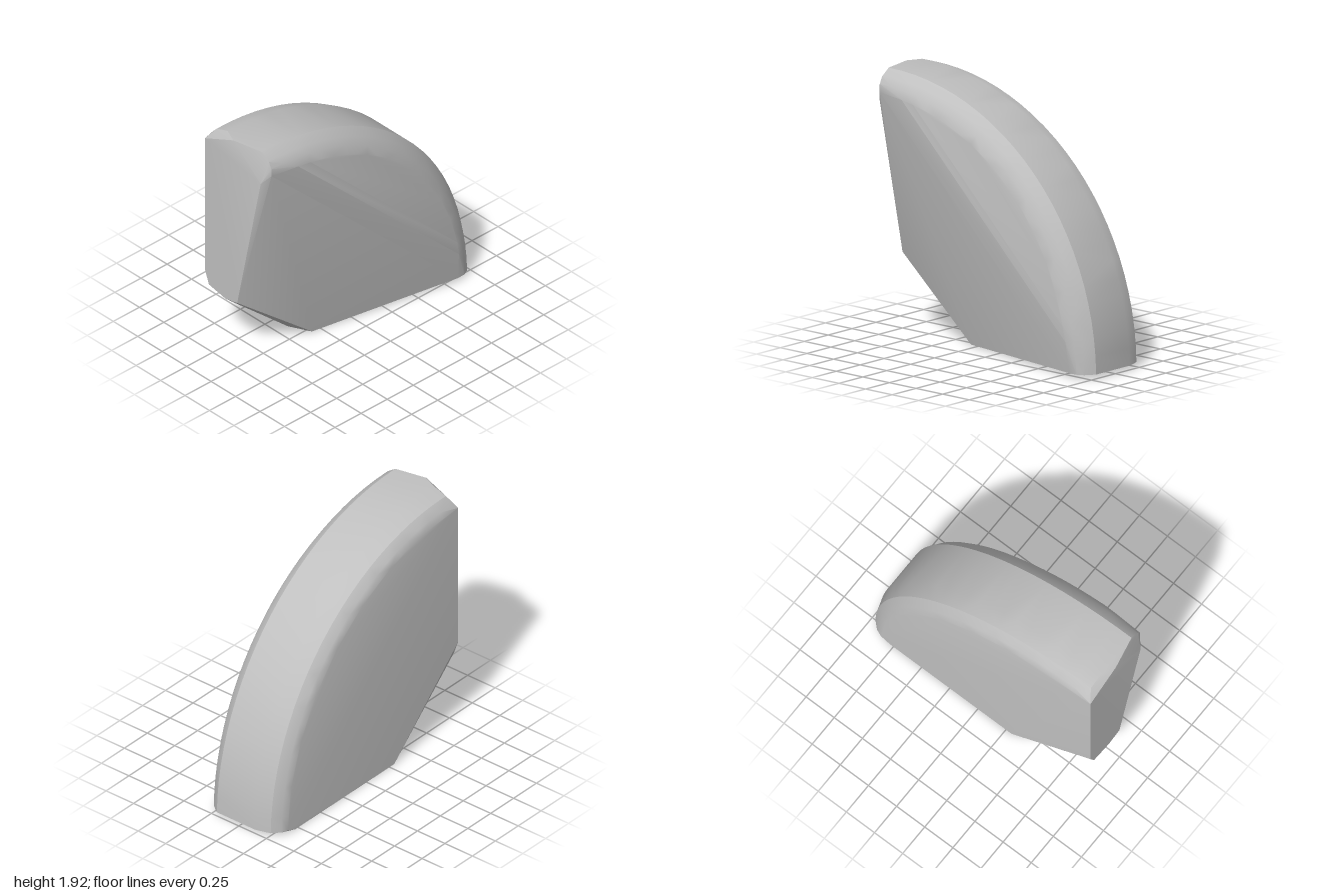
import * as THREE from 'three';
import { ConvexGeometry } from 'three/addons/geometries/ConvexGeometry.js';
import { toCreasedNormals } from 'three/addons/utils/BufferGeometryUtils.js';

const v = (x, y, z) => new THREE.Vector3(x, y, z);

export function createModel() {
  const group = new THREE.Group();
  group.name = 'quarterWedge';
  const grey = new THREE.MeshStandardMaterial({ color: 0xbfbfbf });
  grey.name = 'plain grey';

  // rounded rim cross-section: [x, inset from the outer radius]
  const rim = [[-0.33, 0.14], [-0.31, 0.09], [-0.26, 0.035], [-0.15, 0],
    [0.2, 0], [0.27, 0.05], [0.305, 0.1], [0.33, 0.16]];
  const radius = 1.92, centreZ = 0.92, steps = 24;
  const points = [];

  // sweep the rim along a quarter circle, narrowing its right edge at both ends
  for (let i = 0; i <= steps; i++) {
    const t = i / steps;
    const a = THREE.MathUtils.lerp(0.016, Math.PI / 2 + 0.016, t);
    const end = Math.max(0, 1 - Math.min(t, 1 - t) / 0.1);
    for (const [x, inset] of rim) {
      const r = radius - inset;
      points.push(v(x > 0.28 ? x - end * (x - 0.295) : x, Math.max(0.03, r * Math.sin(a)), centreZ - r * Math.cos(a)));
    }
  }

  // flat front end
  points.push(v(-0.33, 1.79, 1), v(-0.04, 1.92, 1), v(0.24, 1.69, 1), v(0, 0.55, 1),
    v(-0.12, 0.525, 1), v(-0.29, 0.56, 1), v(-0.33, 0.67, 1));

  // flat underside, meeting the sloped inner corner
  points.push(v(0.04, 0, 0.32), v(-0.12, 0, 0.4), v(-0.28, 0, 0.39), v(-0.33, 0, 0.3), v(-0.33, 0, -0.78));

  const body = new THREE.Mesh(toCreasedNormals(new ConvexGeometry(points), 0.45), grey);
  body.name = 'wedgeBody';
  group.add(body);
  return group;
}
